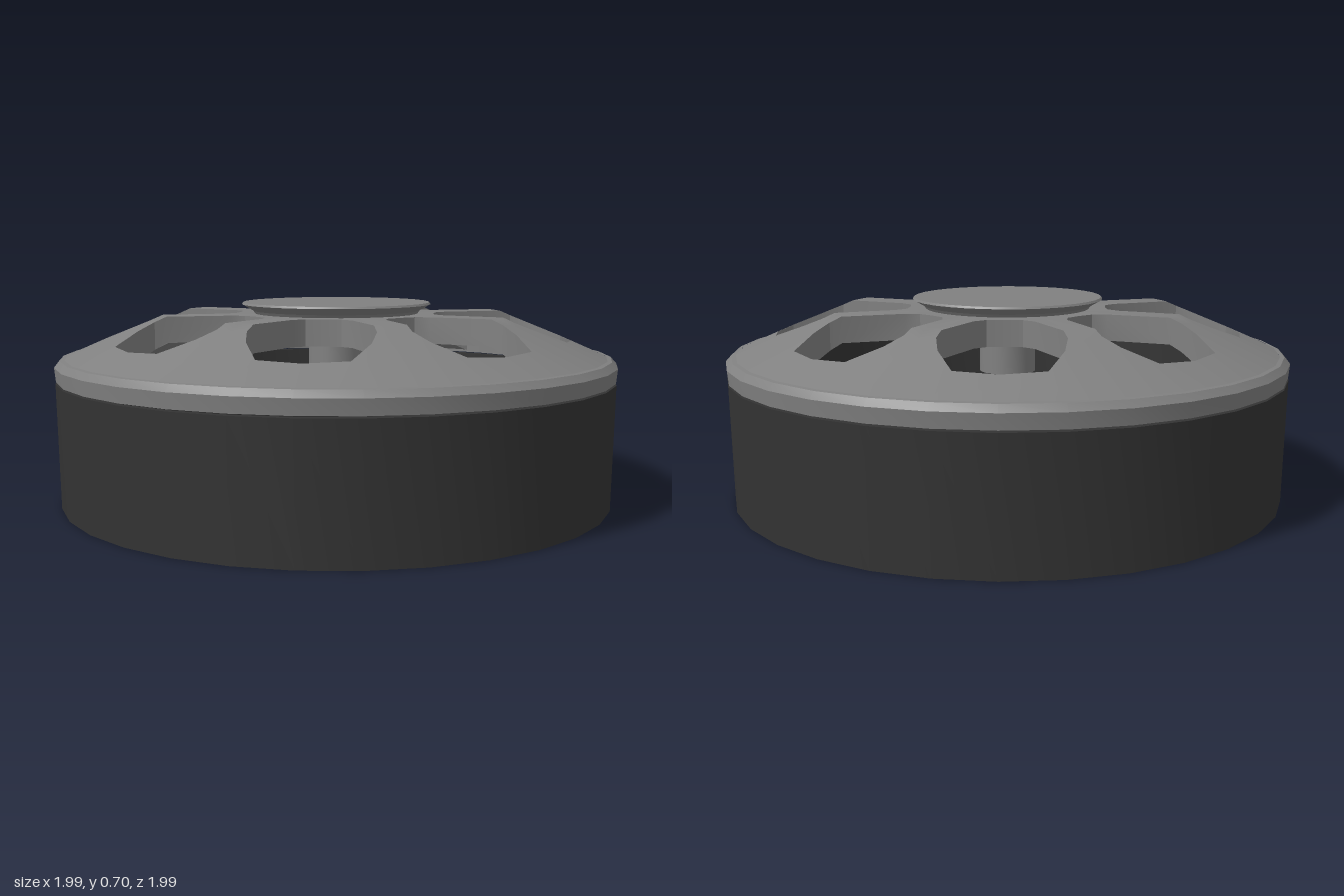
import * as THREE from 'three';
import { toCreasedNormals } from 'three/addons/utils/BufferGeometryUtils.js';

const SIDES = 32, SPOKES = 8;

const silver = new THREE.MeshStandardMaterial({ color: 0x808080 });
silver.name = 'wheel grey';
const charcoal = new THREE.MeshStandardMaterial({ color: 0x333333 });
charcoal.name = 'barrel charcoal';

function part(name, geometry, material) {
  const mesh = new THREE.Mesh(toCreasedNormals(geometry, 0.45), material);
  mesh.name = name;
  return mesh;
}

// profile runs from the bottom, outwards and up
function turned(name, profile, material) {
  const points = profile.map(([r, y]) => new THREE.Vector2(r, y));
  return part(name, new THREE.LatheGeometry(points, SIDES), material);
}

// Height of the dished plate's two skins at a given radius
const topY = r => (r < 0.62 ? 0.66 : 0.66 - (r - 0.62) * 0.43);
const underY = r => (r < 0.62 ? 0.57 : Math.max(0.45, 0.57 - (r - 0.62) * 0.53));

// Plate with eight windows: each half sector joins window edge points
// to points on the spoke centre line, the hub centre or the rim
function spokedPlate() {
  const A = Math.PI / SPOKES;
  const rows = [ // window x, window z, partner angle, partner radius
    [0, 0.35, 0, 0],
    [0.06, 0.355, 0, 0],
    [0.1, 0.39, A, 0],
    [0.187, 0.591, A, 0.62],
    [0.2, 0.63, A, 0.68],
    [0.19, 0.7, A, 0.8],
    [0.19, 0.7, A, 0.96],
    [0.14, 0.81, A / 2, 0.96],
    [0, 0.835, 0, 0.96],
  ];
  const positions = [];
  const quad = (a, b, c, d, flip) => {
    for (const tri of [[a, b, c], [a, c, d]]) {
      const [p, q, r] = flip ? [tri[0], tri[2], tri[1]] : tri;
      const area = q.clone().sub(p).cross(r.clone().sub(p)).length();
      if (area > 1e-7) for (const v of [p, q, r]) positions.push(v.x, v.y, v.z);
    }
  };
  for (let k = 0; k < SPOKES; k++) {
    for (const side of [1, -1]) {
      const place = (x, z, height) => new THREE.Vector3(side * x, height(Math.hypot(x, z)), z)
        .applyAxisAngle(new THREE.Vector3(0, 1, 0), k * 2 * A);
      const skin = height => rows.map(([x, z, angle, r]) => [
        place(x, z, height),
        place(r * Math.sin(angle), r * Math.cos(angle), height),
      ]);
      const top = skin(topY), under = skin(underY);
      for (let i = 0; i < rows.length - 1; i++) {
        const [t0, u0] = top[i], [t1, u1] = top[i + 1];
        const [b0, c0] = under[i], [b1, c1] = under[i + 1];
        quad(t0, u0, u1, t1, side > 0);
        quad(b0, c0, c1, b1, side < 0);
        quad(t0, b0, b1, t1, side < 0); // window wall
      }
    }
  }
  const geometry = new THREE.BufferGeometry();
  geometry.setAttribute('position', new THREE.Float32BufferAttribute(positions, 3));
  return geometry;
}

export function createModel() {
  const wheel = new THREE.Group();
  wheel.name = 'wheel';

  // Open barrel with a thin wall
  wheel.add(turned('barrel', [
    [0.965, 0.434], [0.965, 0], [0.985, 0], [0.992, 0.434], [0.965, 0.434],
  ], charcoal));

  // Face of the wheel
  wheel.add(part('spokedPlate', spokedPlate(), silver));
  wheel.add(turned('rimLip', [
    [0.96, 0.45], [0.96, 0.44], [0.99, 0.44], [0.995, 0.49], [0.975, 0.512], [0.96, 0.514],
  ], silver));

  // Flared hub cap on top and axle stub underneath
  wheel.add(turned('hubCap', [
    [0.29, 0.655], [0.3, 0.67], [0.34, 0.693], [0.335, 0.7], [0, 0.7],
  ], silver));
  wheel.add(turned('axleStub', [[0, 0.43], [0.1, 0.43], [0.1, 0.575]], silver));

  return wheel;
}
